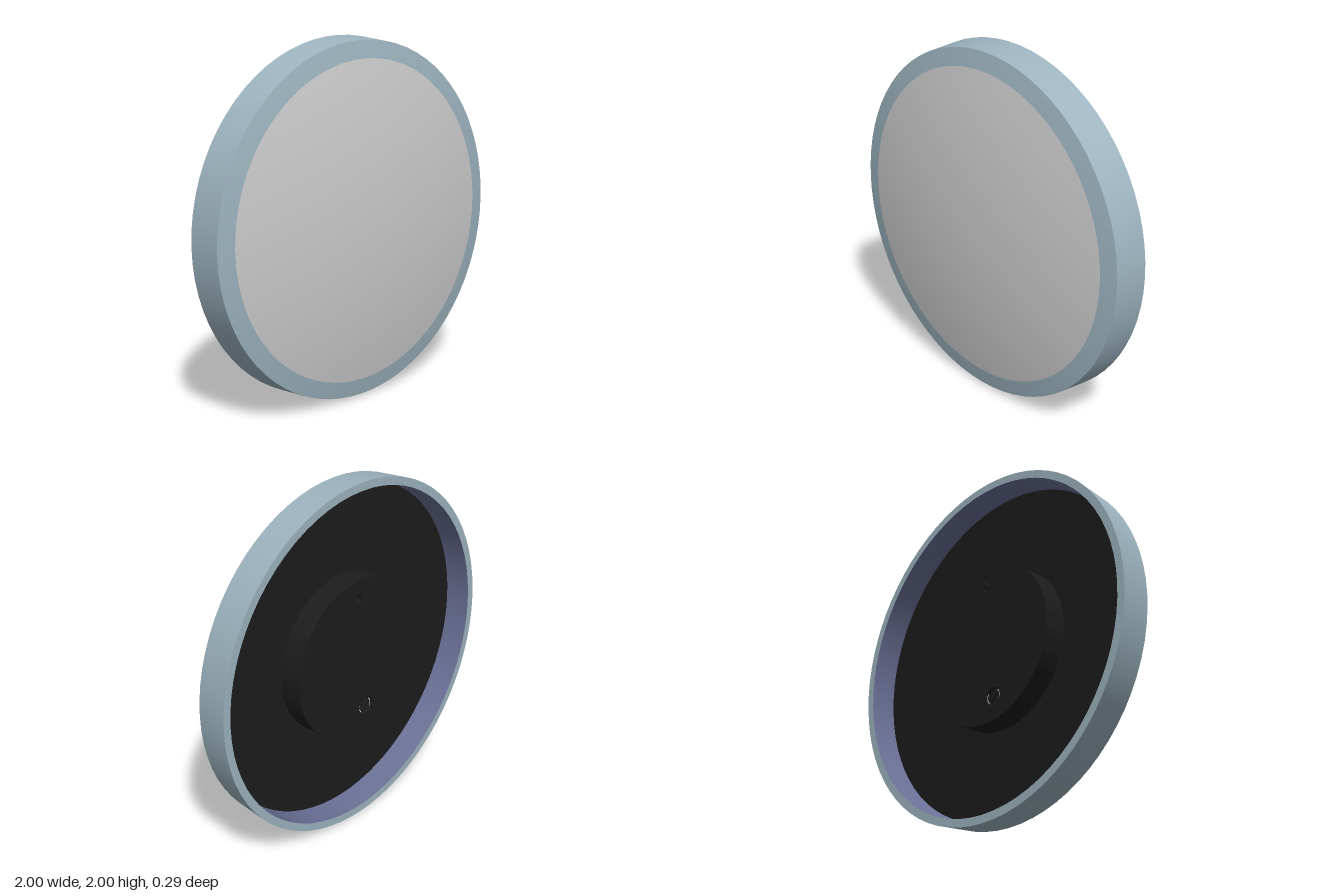
import * as THREE from 'three';

const SEG = 72;
const mat = (name, color, side = THREE.FrontSide) => {
  const m = new THREE.MeshStandardMaterial({ color, side });
  m.name = name;
  return m;
};

export function createModel() {
  const frameBlue = mat('frame blue grey', 0x9db4c0);
  const paleGrey = mat('pale grey', 0xcccccc);
  const innerBlue = mat('inner wall slate', 0x6a7096);
  const black = mat('back black', 0x1c1c1c);
  const white = mat('white', 0xf0f0f0);

  const model = new THREE.Group();
  model.name = 'roundWallDisc';
  const body = new THREE.Group();
  body.name = 'body';
  body.position.y = 1;
  model.add(body);

  const add = (name, geometry, material, x = 0, y = 0, z = 0) => {
    const mesh = new THREE.Mesh(geometry, material);
    mesh.name = name;
    mesh.position.set(x, y, z);
    body.add(mesh);
    return mesh;
  };
  // Revolve [radius, z] points about the z axis
  const turn = (points) => new THREE.LatheGeometry(
    points.map(([r, z]) => new THREE.Vector2(r, z)), SEG).rotateX(Math.PI / 2);

  // Shallow domed front, split into blue border and grey face
  const domeZ = (r) => 0.145 - 0.1 * (r / 0.985) ** 2;
  const domeBand = (outer, inner, steps) => Array.from({ length: steps + 1 }, (_, i) => {
    const r = outer + (inner - outer) * i / steps;
    return [r, domeZ(r)];
  });
  add('frontBorder', turn(domeBand(0.985, 0.888, 3)), frameBlue);
  add('frontFace', turn(domeBand(0.888, 0, 14)), paleGrey);

  // Tapered frame with a flat lip and a recessed back
  add('frameWall', turn([[1, -0.145], [0.985, 0.045]]), frameBlue);
  add('backLip', turn([[0.955, -0.145], [1, -0.145]]), frameBlue);
  add('innerWall', turn([[0.945, 0], [0.955, -0.145]]), innerBlue);
  add('backPlate', turn([[0, 0], [0.946, 0]]), black);

  // Raised mount with a keyhole slot and a screw hole
  const puck = new THREE.Shape().absarc(0, 0, 0.46, 0, Math.PI * 2, false);
  const keyhole = new THREE.Path();
  keyhole.moveTo(-0.01, 0.41);
  keyhole.lineTo(-0.012, 0.365);
  keyhole.absarc(0, 0.343, 0.025, Math.PI * 0.66, Math.PI * 2.34, false);
  keyhole.lineTo(0.01, 0.41);
  keyhole.closePath();
  const screwHole = new THREE.Path().absarc(-0.06, -0.32, 0.05, 0, Math.PI * 2, true);
  puck.holes.push(keyhole, screwHole);
  add('mountPuck', new THREE.ExtrudeGeometry(puck, {
    depth: 0.13, bevelEnabled: false, curveSegments: 32,
  }), black, 0, 0, -0.13);

  // Slotted screw in the hole, with thin pale arcs round it
  add('screw', new THREE.CylinderGeometry(0.04, 0.04, 0.11, 24).rotateX(Math.PI / 2),
    black, -0.06, -0.32, -0.06);
  const slot = add('screwBar', new THREE.BoxGeometry(0.075, 0.014, 0.012), black, -0.06, -0.32, -0.12);
  slot.rotation.z = -Math.PI / 4;
  for (const start of [-0.5, Math.PI - 0.5]) {
    add('screwArc', new THREE.RingGeometry(0.042, 0.047, 16, 1, start, 1.3).rotateY(Math.PI),
      white, -0.06, -0.32, -0.125);
  }
  return model;
}
